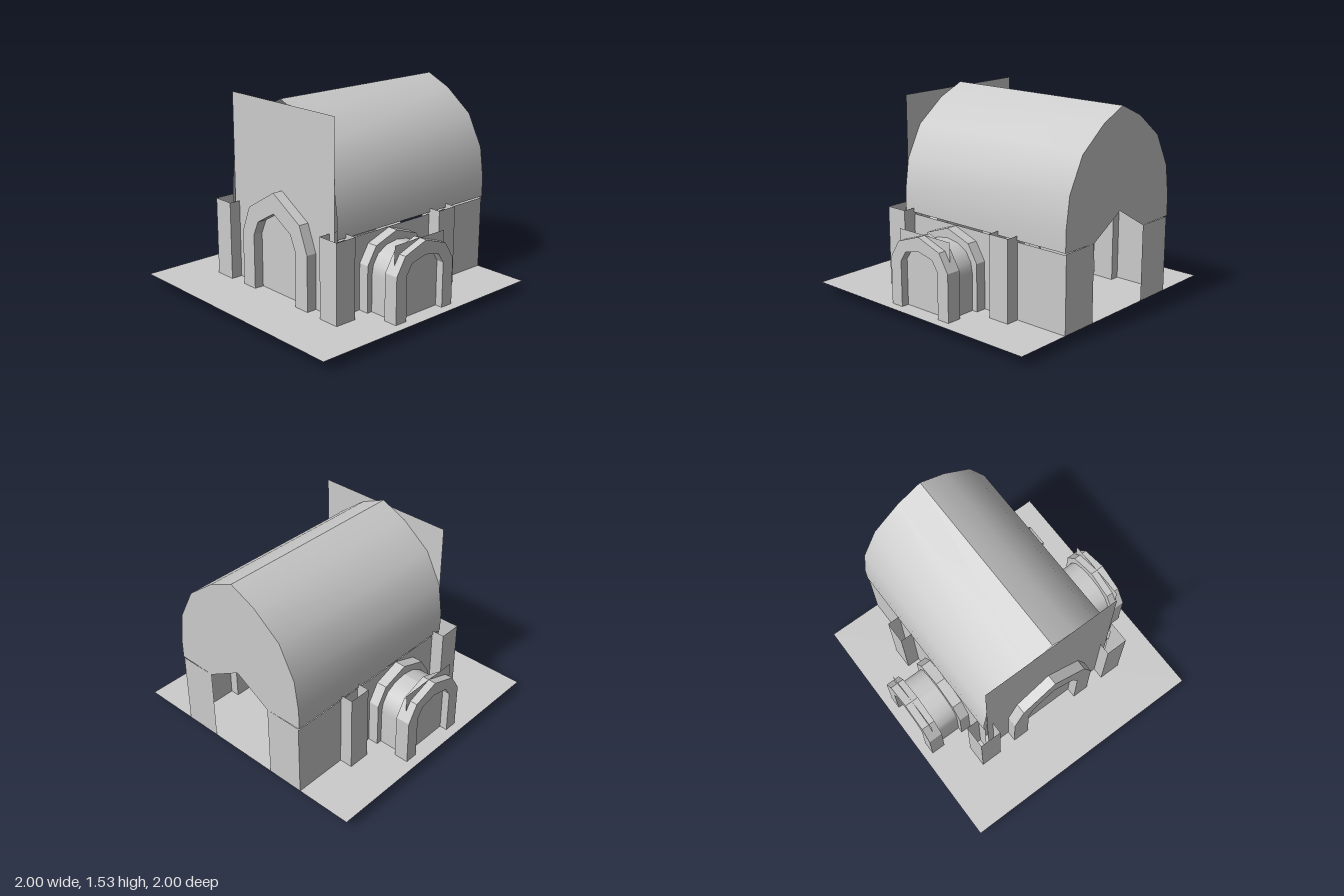
import * as THREE from 'three';

const flat = new THREE.MeshStandardMaterial({ color: 0xcccccc, flatShading: true, side: THREE.DoubleSide });
const smooth = new THREE.MeshStandardMaterial({ color: 0xcccccc, side: THREE.DoubleSide });

function add(parent, name, geometry, material = flat) {
  const mesh = new THREE.Mesh(geometry, material);
  mesh.name = name;
  parent.add(mesh);
  return mesh;
}

// mirrors a half profile (foot to peak) into a full outline
const mirrored = (half) => [
  ...half,
  ...half.slice(0, -1).reverse().map(([x, y]) => [-x, y]),
];
const toShape = (points) => new THREE.Shape(points.map(([x, y]) => new THREE.Vector2(x, y)));

// pointed frame standing on its feet, centred on z = 0
function archFrame(outer, inner, depth) {
  const shape = toShape([...mirrored(outer), ...mirrored(inner).reverse()]);
  return new THREE.ExtrudeGeometry(shape, { depth, bevelEnabled: false }).translate(0, 0, -depth / 2);
}

// smooth open shell from a half profile, running from z0 to z1
function halfVault(half, side, z0, z1) {
  const position = [], index = [];
  half.forEach(([x, y], i) => {
    position.push(side * x, y, z0, side * x, y, z1);
    if (i > 0) {
      const a = 2 * i - 2;
      if (side > 0) index.push(a, a + 2, a + 1, a + 1, a + 2, a + 3);
      else index.push(a, a + 1, a + 2, a + 1, a + 3, a + 2);
    }
  });
  const g = new THREE.BufferGeometry();
  g.setAttribute('position', new THREE.Float32BufferAttribute(position, 3));
  g.setIndex(index);
  g.computeVertexNormals();
  return g;
}

function vault(parent, name, half, z0, z1) {
  for (const side of [1, -1]) add(parent, name, halfVault(half, side, z0, z1), smooth);
}

const panel = (w, y0, y1, z) => new THREE.PlaneGeometry(w, y1 - y0).translate(0, (y0 + y1) / 2, z);

const FLOOR = 0.08;
const ROOF = [[0.578, 0.65], [0.578, 0.8], [0.545, 1.03], [0.42, 1.27], [0.2, 1.44], [0, 1.53]];

// hall runs along local z, with the doorway at z = 0.5 and the open end at z = -1
function buildHall() {
  const hall = new THREE.Group();
  hall.name = 'hall';
  vault(hall, 'roof', ROOF, -1, 0.5);
  for (const s of [1, -1]) {
    add(hall, 'sideWall', new THREE.PlaneGeometry(1.5, 0.555).rotateY(s * Math.PI / 2)
      .translate(s * 0.57, 0.3575, -0.25));
    add(hall, 'endWall', new THREE.PlaneGeometry(0.29, 0.565).translate(s * 0.425, 0.3625, -1));
  }
  // gable over the open end, notched for the entrance
  const notch = mirrored([[0.28, 0.645], [0, 0.81]]).reverse();
  add(hall, 'endGable', new THREE.ShapeGeometry(toShape([...mirrored(ROOF), ...notch])).translate(0, 0, -1));
  add(hall, 'doorGable', panel(1.1, FLOOR, 1.5, 0.5));

  // doorway
  const outer = [[0.36, 0], [0.36, 0.5], [0.28, 0.7], [0, 0.87]];
  const inner = [[0.23, 0], [0.23, 0.5], [0.18, 0.61], [0, 0.715]];
  add(hall, 'doorFrame', archFrame(outer, inner, 0.16)).position.z = 0.5;
  add(hall, 'door', new THREE.ShapeGeometry(toShape(mirrored(inner))).translate(0, 0, 0.505));
  hall.rotation.y = -Math.PI / 2;
  return hall;
}

// side porch projecting toward +z
function buildPorch() {
  const porch = new THREE.Group();
  porch.name = 'porch';
  const outer = [[0.28, FLOOR], [0.28, 0.43], [0.2, 0.56], [0, 0.63]];
  const inner = [[0.18, FLOOR], [0.18, 0.42], [0.13, 0.495], [0, 0.525]];
  add(porch, 'innerFrame', archFrame(outer, inner, 0.1)).position.z = 0.6;
  add(porch, 'outerFrame', archFrame(outer, inner, 0.11)).position.z = 0.873;
  vault(porch, 'porchVault',
    [[0.238, FLOOR], [0.238, 0.36], [0.225, 0.43], [0.18, 0.5], [0.1, 0.545], [0, 0.56]], 0.56, 0.87);
  add(porch, 'porchPanel', panel(0.49, FLOOR, 0.63, 0.87));
  return porch;
}

export function createModel() {
  const model = new THREE.Group();
  model.name = 'building';
  add(model, 'ground', new THREE.PlaneGeometry(2, 2).rotateX(-Math.PI / 2).translate(0, FLOOR, 0));
  model.add(buildHall());

  const back = buildPorch();
  back.rotation.y = Math.PI;
  model.add(buildPorch(), back);

  // hollow buttresses, open at top and bottom
  const tube = new THREE.CylinderGeometry(0.12, 0.12, 0.68, 4, 1, true).rotateY(Math.PI / 4);
  for (const x of [-0.503, 0.5]) {
    for (const z of [-0.585, 0.585]) add(model, 'buttress', tube).position.set(x, 0.34, z);
  }
  return model;
}
